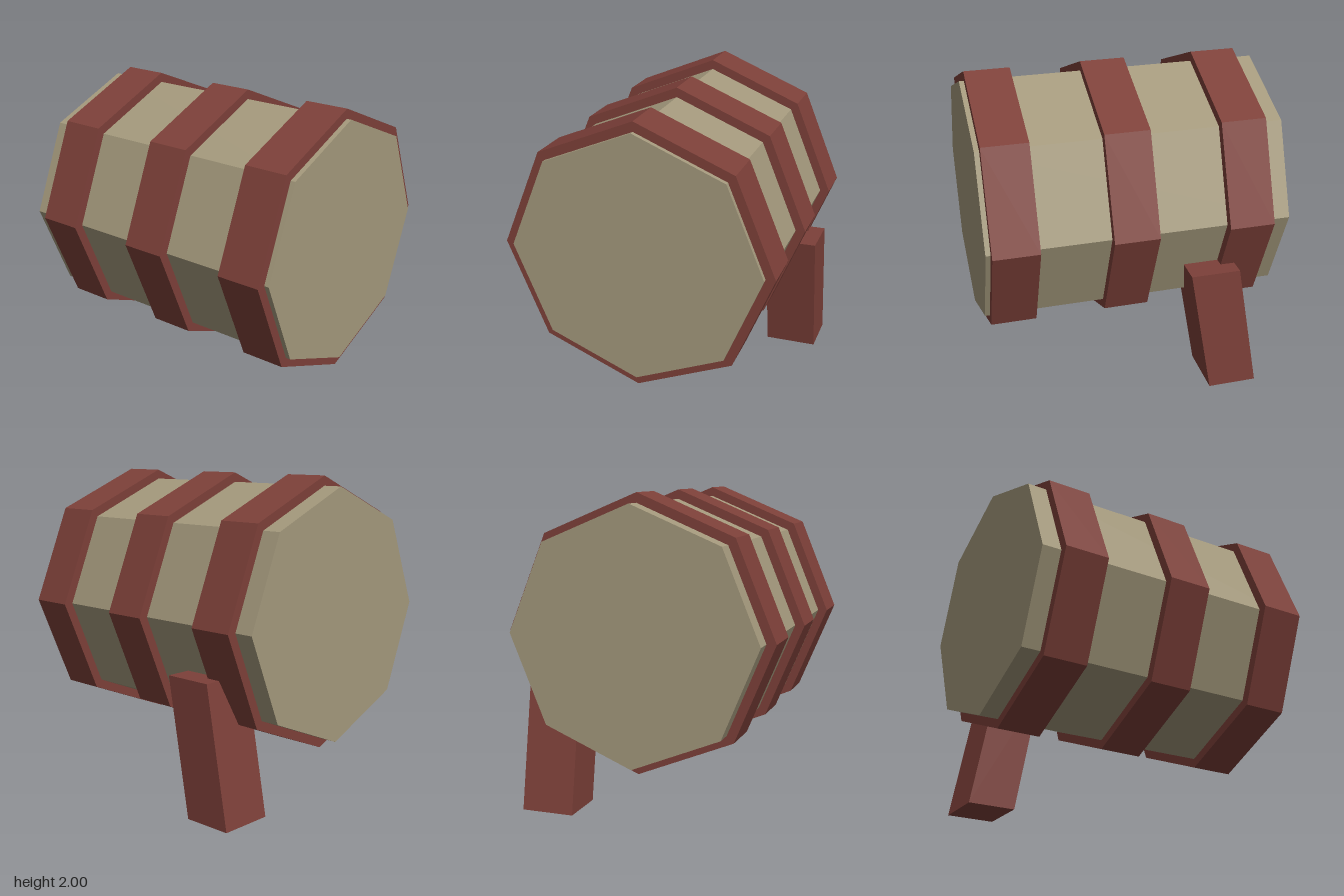
import * as THREE from 'three';

const AXIS_Y = 1.165;

export function createModel() {
  const group = new THREE.Group();
  group.name = 'barrel';

  const tan = new THREE.MeshStandardMaterial({ name: 'tan wood', color: 0xa4997c, flatShading: true });
  const red = new THREE.MeshStandardMaterial({ name: 'red brown wood', color: 0x7d4039, flatShading: true });

  const add = (name, geometry, material) => {
    const mesh = new THREE.Mesh(geometry, material);
    mesh.name = name;
    group.add(mesh);
  };

  // Eight-sided drum lying along z, with a corner at the top
  const drum = (radius, zBack, zFront) =>
    new THREE.CylinderGeometry(radius, radius, zFront - zBack, 8)
      .rotateX(Math.PI / 2)
      .translate(0, AXIS_Y, (zBack + zFront) / 2);

  add('barrelBody', drum(0.775, -0.93, 0.93), tan);

  // Three raised hoops
  const hoops = { frontHoop: [0.62, 0.9], middleHoop: [-0.093, 0.185], backHoop: [-0.81, -0.53] };
  for (const [name, [zBack, zFront]] of Object.entries(hoops)) {
    add(name, drum(0.835, zBack, zFront), red);
  }

  // Slanted leg: a box sheared forward toward its top
  const leg = new THREE.BoxGeometry(0.34, 0.85, 0.31).translate(0.635, 0.425, -0.617);
  const pos = leg.attributes.position;
  for (let i = 0; i < pos.count; i++) {
    pos.setZ(i, pos.getZ(i) + pos.getY(i) * 0.18);
  }
  leg.computeVertexNormals();
  add('leg', leg, red);

  return group;
}
